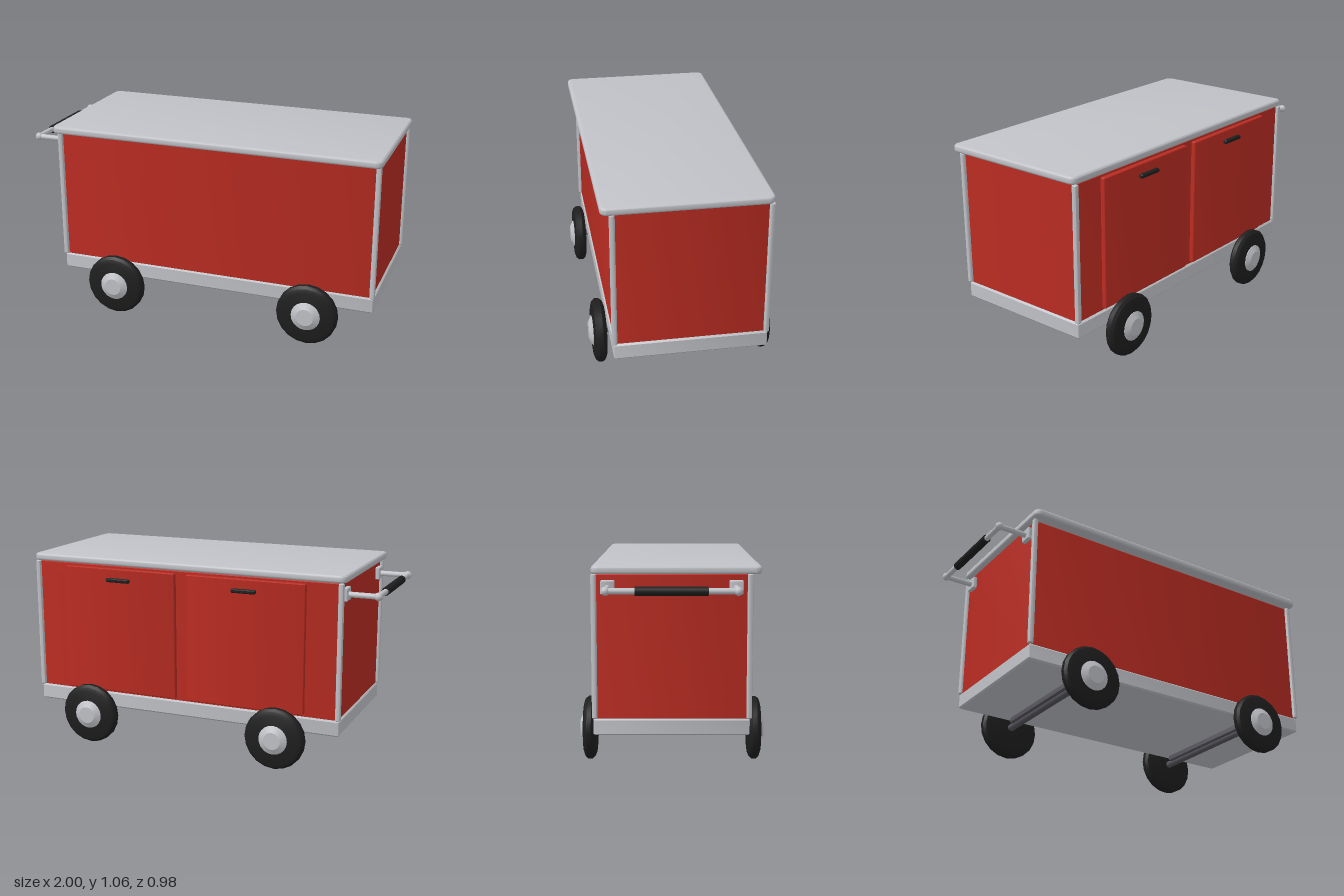
import * as THREE from 'three';
import { toCreasedNormals } from 'three/addons/utils/BufferGeometryUtils.js';

const material = (name, color) => new THREE.MeshStandardMaterial({ name, color });

export function createModel() {
  const cart = new THREE.Group();
  cart.name = 'serviceCart';
  const red = material('redPaint', 0xba2c22);
  const silver = material('silverMetal', 0xc0c2c7);
  const black = material('blackRubber', 0x1e1e1e);
  const steel = material('darkSteel', 0x57555c);

  const add = (name, geometry, mat, parent = cart) => {
    const mesh = new THREE.Mesh(geometry, mat);
    mesh.name = name;
    parent.add(mesh);
    return mesh;
  };

  // Box given by its limits, with rounded vertical corners and bevelled edges
  const slab = (name, [x0, x1], [y0, y1], [z0, z1], mat, bevel, corner = bevel, steps = 1) => {
    const w = (x1 - x0) / 2 - bevel, d = (z1 - z0) / 2 - bevel, r = Math.max(corner - bevel, 0.0005);
    const s = new THREE.Shape();
    s.moveTo(-w + r, -d);
    s.lineTo(w - r, -d); s.absarc(w - r, -d + r, r, -Math.PI / 2, 0);
    s.lineTo(w, d - r); s.absarc(w - r, d - r, r, 0, Math.PI / 2);
    s.lineTo(-w + r, d); s.absarc(-w + r, d - r, r, Math.PI / 2, Math.PI);
    s.lineTo(-w, -d + r); s.absarc(-w + r, -d + r, r, Math.PI, Math.PI * 1.5);
    const g = new THREE.ExtrudeGeometry(s, {
      depth: y1 - y0 - 2 * bevel, bevelSize: bevel, bevelThickness: bevel,
      bevelSegments: steps, curveSegments: 4
    });
    g.rotateX(-Math.PI / 2);
    g.translate((x0 + x1) / 2, y0 + bevel, (z0 + z1) / 2);
    return add(name, toCreasedNormals(g, 0.7), mat);
  };

  // Round bar between two points
  const bar = (name, a, b, radius, mat, sides = 16) => {
    const from = new THREE.Vector3(...a), to = new THREE.Vector3(...b);
    const dir = to.clone().sub(from);
    const mesh = add(name, new THREE.CylinderGeometry(radius, radius, dir.length(), sides), mat);
    mesh.position.copy(from).add(to).multiplyScalar(0.5);
    mesh.quaternion.setFromUnitVectors(new THREE.Vector3(0, 1, 0), dir.normalize());
    return mesh;
  };

  // Cabinet, chassis and lid
  slab('cabinet', [-0.803, 0.972], [0.285, 1.022], [-0.385, 0.385], red, 0.008);
  slab('chassis', [-0.812, 0.982], [0.205, 0.292], [-0.395, 0.392], silver, 0.008);
  slab('lid', [-0.83, 1.0], [1.02, 1.06], [-0.4, 0.445], silver, 0.012, 0.035, 3);

  // Corner posts
  for (const x of [-0.805, 0.975])
    for (const z of [-0.388, 0.388])
      slab('cornerPost', [x - 0.014, x + 0.014], [0.292, 1.02], [z - 0.014, z + 0.014], silver, 0.005, 0.009);

  // Rear doors with their pulls
  for (const x of [-0.285, 0.455]) {
    slab('door', [x - 0.335, x + 0.335], [0.305, 1.005], [-0.41, -0.38], red, 0.004);
    slab('doorPull', [x - 0.07, x + 0.07], [0.934, 0.955], [-0.433, -0.408], black, 0.005, 0.008);
  }

  // Push handle
  for (const z of [-0.318, 0.318]) {
    slab('handleMount', [-0.825, -0.8], [0.92, 0.99], [z - 0.035, z + 0.035], silver, 0.004);
    bar('handleArm', [-0.81, 0.953, z], [-0.977, 0.953, z], 0.015, silver);
    add('handleJoint', new THREE.SphereGeometry(0.022, 16, 10), silver).position.set(-0.978, 0.953, z);
  }
  bar('handleBar', [-0.978, 0.953, -0.318], [-0.978, 0.953, 0.318], 0.015, silver);
  bar('handleGrip', [-0.978, 0.953, -0.178], [-0.978, 0.953, 0.175], 0.022, black);

  // Wheel profiles: radius, distance along the axle
  const lathe = (points) => toCreasedNormals(
    new THREE.LatheGeometry(points.map(p => new THREE.Vector2(...p)), 20).rotateX(Math.PI / 2), 0.4);
  const tyre = lathe([[0, -0.033], [0.135, -0.033], [0.155, -0.026], [0.168, -0.012],
    [0.168, 0.012], [0.155, 0.026], [0.135, 0.033], [0, 0.033]]);
  const hub = lathe([[0.08, 0.02], [0.08, 0.035], [0.047, 0.053], [0, 0.053]]);

  // Axles, their supports and the wheels
  for (const x of [-0.475, 0.64]) {
    bar('axle', [x, 0.17, -0.41], [x, 0.17, 0.41], 0.02, steel);
    slab('axleSupport', [x - 0.035, x + 0.035], [0.173, 0.21], [-0.355, 0.358], steel, 0.006);
    for (const side of [1, -1]) {
      const wheel = new THREE.Group();
      wheel.name = 'wheel';
      wheel.position.set(x, 0.168, side * 0.435);
      wheel.rotation.y = side > 0 ? 0 : Math.PI;
      add('tyre', tyre, black, wheel);
      add('hubCap', hub, silver, wheel);
      cart.add(wheel);
    }
  }
  return cart;
}
